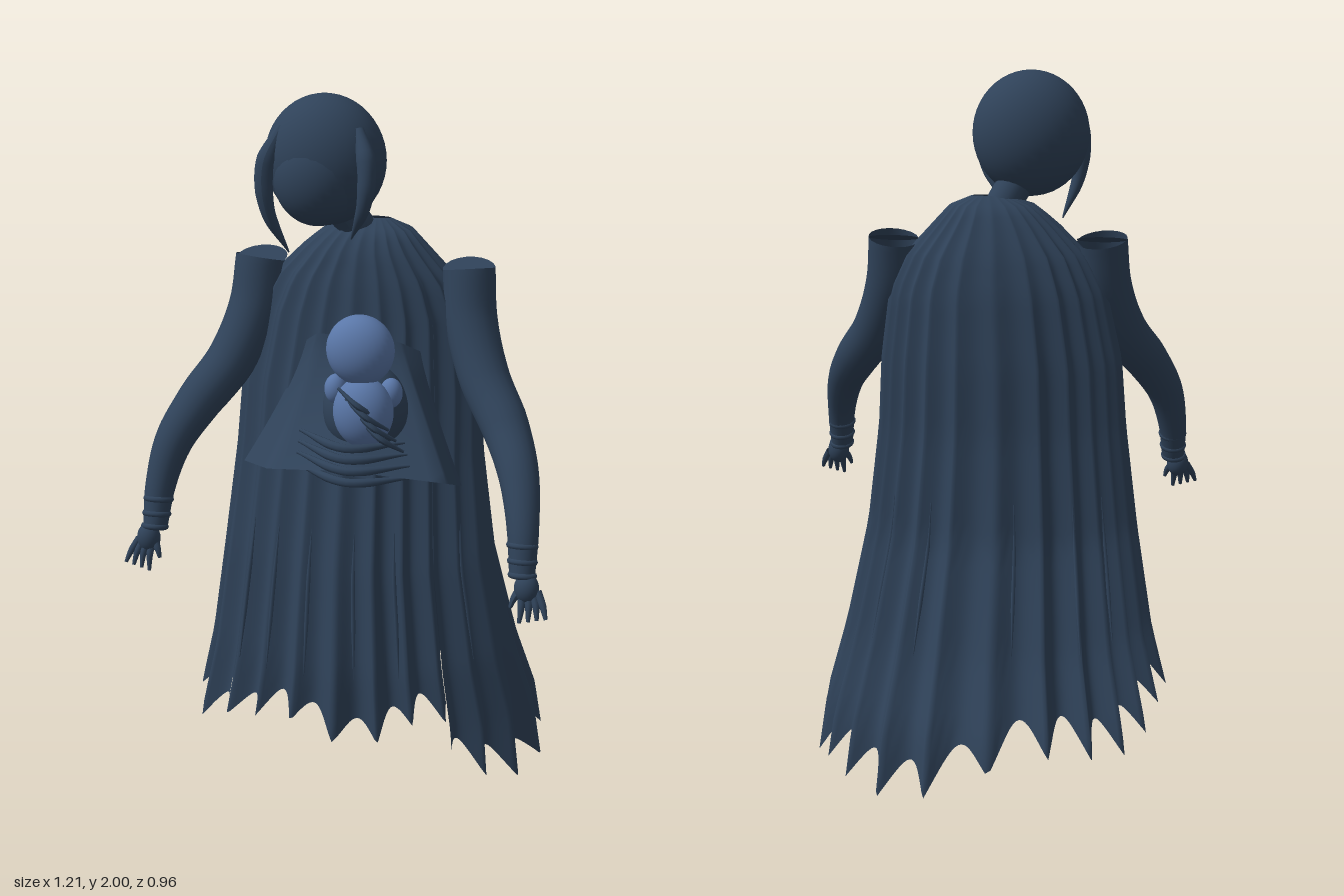
import * as THREE from 'three';

export function createModel() {
  const model = new THREE.Group();
  const slate = new THREE.MeshStandardMaterial({ color: 0x2f4259, side: THREE.DoubleSide });
  slate.name = 'dark slate';
  const blue = new THREE.MeshStandardMaterial({ color: 0x5a77a8 });
  blue.name = 'soft blue';

  const add = (name, geometry, material = slate, parent = model) => {
    const mesh = new THREE.Mesh(geometry, material);
    mesh.name = name;
    parent.add(mesh);
    return mesh;
  };
  const ball = (name, p, r, material = slate, parent = model) => {
    const mesh = add(name, new THREE.SphereGeometry(1, 32, 24), material, parent);
    mesh.position.set(...p);
    mesh.scale.set(...r);
    return mesh;
  };
  const vec = (p) => new THREE.Vector3(...p);

  // Tube along a smooth path whose radius follows a list of values
  const limb = (name, points, radii, material = slate, parent = model, sides = 16) => {
    const curve = new THREE.CatmullRomCurve3(points.map(vec));
    const steps = points.length * 6;
    const g = new THREE.TubeGeometry(curve, steps, 1, sides);
    const pos = g.attributes.position, v = new THREE.Vector3();
    for (let i = 0; i <= steps; i++) {
      const c = curve.getPointAt(i / steps);
      const f = (i / steps) * (radii.length - 1), k = Math.min(Math.floor(f), radii.length - 2);
      const r = THREE.MathUtils.lerp(radii[k], radii[k + 1], f - k);
      for (let j = 0; j <= sides; j++) {
        const n = i * (sides + 1) + j;
        v.fromBufferAttribute(pos, n).sub(c).multiplyScalar(r).add(c);
        pos.setXYZ(n, v.x, v.y, v.z);
      }
    }
    g.computeVertexNormals();
    return add(name, g, material, parent);
  };

  // Open sheet from a rule fn(u, v) -> [x, y, z]
  const sheet = (name, fn, cols, rows, parent = model) => {
    const pos = [], index = [];
    for (let j = 0; j <= rows; j++) for (let i = 0; i <= cols; i++) {
      pos.push(...fn(i / cols, j / rows));
      if (i < cols && j < rows) {
        const a = j * (cols + 1) + i, b = a + cols + 1;
        index.push(a, b, a + 1, b, b + 1, a + 1);
      }
    }
    const g = new THREE.BufferGeometry();
    g.setAttribute('position', new THREE.Float32BufferAttribute(pos, 3));
    g.setIndex(index);
    g.computeVertexNormals();
    return add(name, g, slate, parent);
  };

  // Cloak outline by height: y, right x, left x, front z, back z
  const outline = [
    [1.66, -0.03, 0.07, 0.04, 0.01], [1.645, -0.09, 0.12, 0.095, -0.03], [1.59, -0.16, 0.17, 0.135, -0.065],
    [1.5, -0.25, 0.25, 0.16, -0.105], [1.4, -0.3, 0.295, 0.175, -0.13], [1.2, -0.345, 0.32, 0.205, -0.153],
    [1.0, -0.36, 0.33, 0.235, -0.165], [0.7, -0.395, 0.365, 0.3, -0.21],
    [0.4, -0.44, 0.425, 0.355, -0.32], [0.2, -0.49, 0.475, 0.375, -0.42], [0, -0.52, 0.5, 0.39, -0.47],
  ];
  const PLEATS = 24;
  const fold = (a) => 1 - 2 * Math.abs(Math.sin((a * PLEATS) / 2 + 0.5 * Math.sin(3 * a)));
  const cloakPoint = (a, y, grow = 1) => {
    let k = 0;
    while (k < outline.length - 2 && y < outline[k + 1][0]) k++;
    const p = outline[k], q = outline[k + 1];
    const t = (p[0] - y) / (p[0] - q[0]);
    const [x0, x1, zf, zb] = [1, 2, 3, 4].map((i) => p[i] + (q[i] - p[i]) * t);
    const low = 1 - y / 1.66, sin = Math.sin(a), cos = Math.cos(a);
    // the train swings left at the back and is drawn in at the left front
    const swing = 0.08 * low * sin * Math.max(0, -cos) - 0.3 * low * Math.max(0, sin) * Math.max(0, cos);
    const s = grow * (1 + swing + (0.025 + 0.03 * low) * fold(a));
    const bend = (c) => Math.sign(c) * Math.abs(c) ** 0.9;
    return [(x0 + x1) / 2 + (s * bend(sin) * (x1 - x0)) / 2, y,
      (zf + zb) / 2 + (s * bend(cos) * (zf - zb)) / 2];
  };
  const drape = (name, from, to, grow, cols, hem) => sheet(name, (u, v) => {
    const a = from + (to - from) * u;
    const y = 1.66 + (Math.max(hem(a), 0) - 1.66) * v ** 1.15;
    return cloakPoint(a, y, grow);
  }, cols, 36);

  // Front robe panel with a higher hem, and the long ragged cape wrapped over its edges
  drape('robeFront', -1.0, 0.85, 0.98, 100,
    (a) => 0.27 - 0.035 * fold(a) - 0.03 * Math.sin(7 * a + 0.6));
  drape('cape', 0.8, 2 * Math.PI - 0.85, 1.01, 260,
    (a) => 0.155 - 0.085 * Math.sin(a) - 0.05 * fold(a) - 0.035 * Math.sin(5 * a + 0.6));

  // Slim raised creases on the lower cloth
  for (const a of [-0.72, -0.45, -0.18, 0.1, 0.42, 1.2, 1.7, 2.2, 2.65, 3.25, 3.7, 4.1, 4.6, 5.0]) {
    const path = [0.82, 0.7, 0.55, 0.4].map((y) => cloakPoint(a, y, 1.01));
    limb('crease', path, [0.001, 0.006, 0.006, 0.001], slate, model, 6);
  }

  // Neck and collar
  limb('neck', [[0.01, 1.58, 0.03], [-0.02, 1.64, 0.05], [-0.07, 1.72, 0.09]], [0.05, 0.05, 0.05]);
  ball('collar', [0.015, 1.61, 0.035], [0.12, 0.045, 0.065]);

  // Head with hair cap, face and side locks
  const head = new THREE.Group();
  head.name = 'head';
  model.add(head);
  ball('hair', [-0.09, 1.825, 0.105], [0.165, 0.175, 0.138], slate, head);
  ball('face', [-0.1, 1.785, 0.15], [0.12, 0.13, 0.105], slate, head);
  const lock = (pts) => limb('hairLock', pts, [0.012, 0.026, 0.024, 0.016, 0.002], slate, head);
  lock([[0.02, 1.92, 0.17], [0.05, 1.83, 0.21], [0.045, 1.73, 0.22], [0.0, 1.63, 0.18]]);
  lock([[-0.19, 1.92, 0.17], [-0.23, 1.82, 0.2], [-0.225, 1.7, 0.2], [-0.18, 1.58, 0.16]]);

  // Arms with flat-cut shoulders, cuffs and hands; s is the side, d shifts the hand forward
  for (const [s, d] of [[1, 0.04], [-1, -0.03]]) {
    const arm = new THREE.Group();
    arm.name = s > 0 ? 'leftArm' : 'rightArm';
    model.add(arm);
    const path = [[0.295, 1.535, 0.045], [0.31, 1.4, 0.075], [0.36, 1.26, 0.135], [0.435, 1.15, 0.215],
      [0.49, 1.05, 0.29 + d / 2], [0.518, 0.93, 0.35 + d], [0.525, 0.82, 0.385 + d]]
      .map(([x, y, z]) => [x * s, y, z]);
    limb('sleeve', path, [0.072, 0.072, 0.07, 0.066, 0.056, 0.044, 0.034], slate, arm, 20);
    const cap = add('shoulderEnd', new THREE.CircleGeometry(0.072, 20), slate, arm);
    cap.position.set(...path[0]);
    cap.rotation.x = -Math.PI / 2 + 0.25;
    for (const [i, y] of [0.895, 0.855, 0.82].entries()) {
      const ring = add('cuff', new THREE.TorusGeometry(0.034 - i * 0.002, 0.009, 8, 20), slate, arm);
      ring.position.set(s * (0.52 + i * 0.003), y, 0.364 + i * 0.011 + d);
      ring.rotation.x = Math.PI / 2 - 0.3;
    }
    ball('palm', [s * 0.54, 0.79, 0.4 + d], [0.033, 0.042, 0.03], slate, arm);
    for (let i = 0; i < 4; i++) {
      const x = 0.527 + i * 0.014;
      limb('finger', [[s * x, 0.785, 0.4 + d], [s * (x + 0.004 + i * 0.005), 0.75, 0.42 + d],
        [s * (x + 0.002 + i * 0.009), 0.705 + i * 0.006, 0.435 + d]], [0.011, 0.01, 0.005], slate, arm, 8);
    }
    limb('thumb', [[s * 0.525, 0.79, 0.4 + d], [s * 0.508, 0.76, 0.415 + d], [s * 0.502, 0.74, 0.42 + d]],
      [0.012, 0.01, 0.005], slate, arm, 8);
  }

  // Sling: angular apron running from the chest out to a pointed front rim
  const sling = new THREE.Group();
  sling.name = 'sling';
  model.add(sling);
  const top = [[-0.13, 1.34, 0.17], [-0.09, 1.37, 0.2], [0.04, 1.37, 0.21], [0.14, 1.36, 0.2], [0.19, 1.33, 0.17]];
  const rim = [[-0.31, 0.98, 0.2], [-0.17, 1.05, 0.42], [0.06, 1.075, 0.45], [0.31, 1.04, 0.385], [0.315, 0.96, 0.19]];
  sheet('slingApron', (u, v) => {
    const k = Math.min(Math.floor(u * 4), 3), f = u * 4 - k;
    const [a, b] = [top, rim].map((row) => row[k].map((c, i) => c + (row[k + 1][i] - c) * f));
    const e = [v ** 1.2, v, v ** 1.5];
    return a.map((c, i) => c + (b[i] - c) * e[i]);
  }, 24, 14, sling);
  ball('slingPouch', [0.07, 1.2, 0.3], [0.115, 0.13, 0.1], slate, sling);
  for (let i = 0; i < 4; i++) {
    const y = 1.045 + i * 0.034, w = 0.16 - i * 0.006, z = 0.385 + i * 0.006;
    limb('slingBand', [[0.06 - w, y + 0.015, z], [0.06, y, z + 0.07], [0.06 + w, y + 0.005, z]],
      [0.004, 0.012, 0.012, 0.004], slate, sling, 8);
  }

  // Child carried in the sling
  const child = new THREE.Group();
  child.name = 'child';
  model.add(child);
  ball('childHead', [0.08, 1.39, 0.39], [0.09, 0.093, 0.066], blue, child);
  ball('childBody', [0.09, 1.225, 0.4], [0.08, 0.095, 0.065], blue, child);
  for (const s of [-1, 1])
    ball('childHand', [0.08 + s * 0.075, 1.27, 0.36], [0.03, 0.04, 0.03], blue, child);
  for (let i = 0; i < 4; i++) {
    const y = 1.3 - i * 0.028, x = 0.035 + i * 0.02;
    limb('childStrap', [[x, y, 0.445], [x + 0.055, y - 0.035, 0.468], [x + 0.11, y - 0.08, 0.43]],
      [0.004, 0.009, 0.004], slate, child, 8);
  }
  return model;
}
